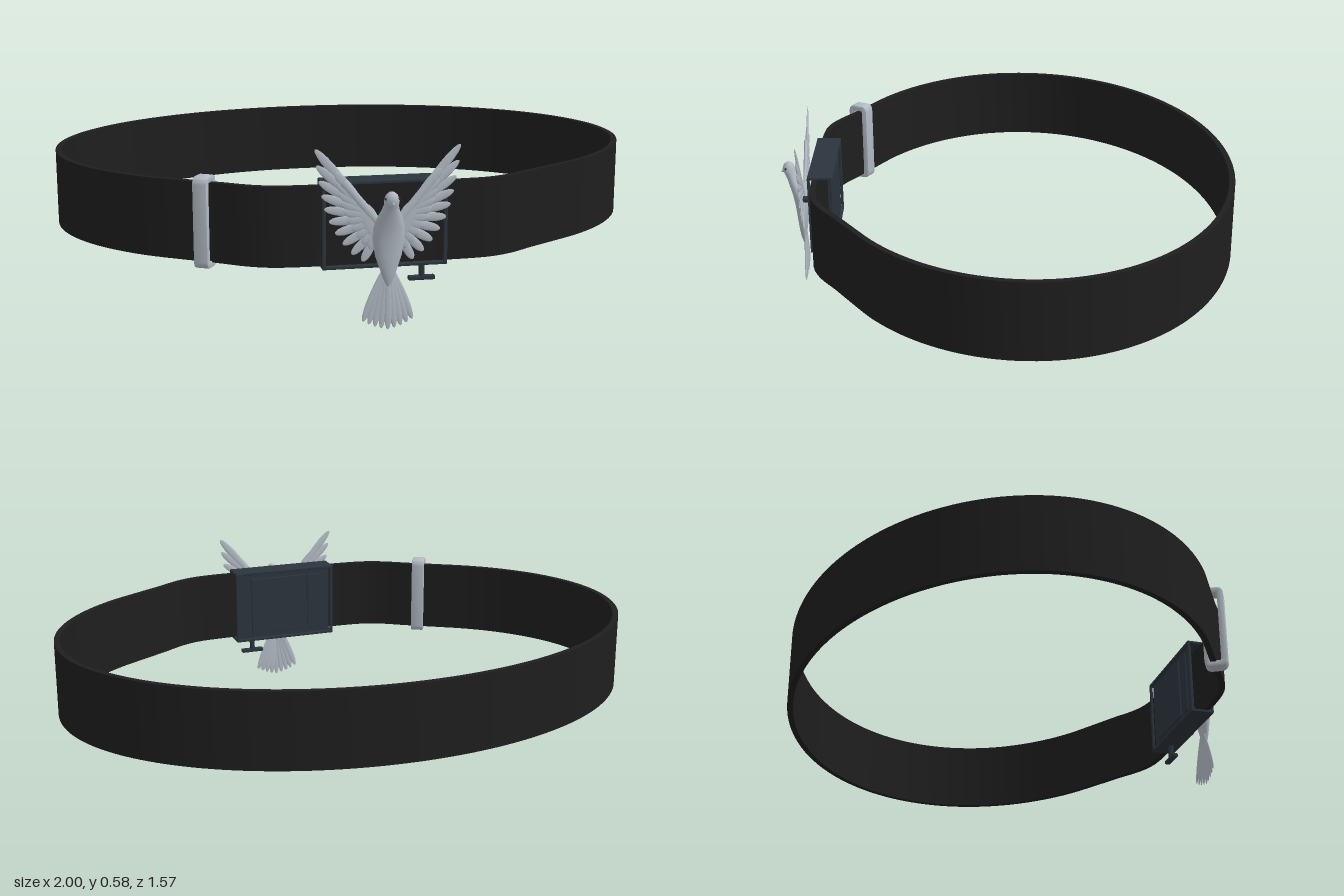
import * as THREE from 'three';
import { toCreasedNormals } from 'three/addons/utils/BufferGeometryUtils.js';
import { RoundedBoxGeometry } from 'three/addons/geometries/RoundedBoxGeometry.js';

const mat = (name, color) => new THREE.MeshStandardMaterial({ name, color });

export function createModel() {
  const model = new THREE.Group();
  model.name = 'beltWithBirdBuckle';
  const leather = mat('black leather', 0x1e1e1e);
  const slate = mat('dark slate metal', 0x2b343d);
  const silver = mat('silver', 0xb2bac3);

  const add = (parent, name, geometry, material, x = 0, y = 0, z = 0) => {
    const mesh = new THREE.Mesh(geometry, material);
    mesh.name = name;
    mesh.position.set(x, y, z);
    parent.add(mesh);
    return mesh;
  };
  const group = (name, parent = model) => {
    const g = new THREE.Group();
    g.name = name;
    parent.add(g);
    return g;
  };

  // Strap: oval loop, flattened where it passes through the buckle
  const half = [[0, 0.65], [0.13, 0.65], [0.26, 0.65], [0.35, 0.64], [0.42, 0.612], [0.5, 0.56]];
  for (let i = 0; i <= 16; i++) {
    const a = THREE.MathUtils.lerp(0.92, -Math.PI / 2, i / 16);
    half.push([0.989 * Math.cos(a), -0.065 + 0.71 * Math.sin(a)]);
  }
  const mirrored = half.slice(1, -1).reverse().map(([x, z]) => [-x, z]);
  const path = new THREE.CatmullRomCurve3(
    [...half, ...mirrored].map(([x, z]) => new THREE.Vector3(x, -z, 0)), true);
  const offsetLoop = (d) => Array.from({ length: 180 }, (_, i) => {
    const p = path.getPointAt(i / 180), t = path.getTangentAt(i / 180);
    return new THREE.Vector2(p.x + t.y * d, p.y - t.x * d);
  });
  const strapShape = new THREE.Shape(offsetLoop(0.01));
  strapShape.holes.push(new THREE.Path(offsetLoop(-0.01)));
  const strapGeo = new THREE.ExtrudeGeometry(strapShape, { depth: 0.255, bevelEnabled: false });
  strapGeo.rotateX(-Math.PI / 2);
  add(model, 'strap', toCreasedNormals(strapGeo, 0.5), leather, 0, 0.2, 0);

  // Keeper: rounded ring round the strap
  const roundedRect = (target, w, h, r) => {
    const x = w / 2, y = h / 2;
    target.moveTo(-x + r, -y).lineTo(x - r, -y).quadraticCurveTo(x, -y, x, -y + r)
      .lineTo(x, y - r).quadraticCurveTo(x, y, x - r, y)
      .lineTo(-x + r, y).quadraticCurveTo(-x, y, -x, y - r)
      .lineTo(-x, -y + r).quadraticCurveTo(-x, -y, -x + r, -y);
    return target;
  };
  const ring = roundedRect(new THREE.Shape(), 0.068, 0.284, 0.02);
  ring.holes.push(roundedRect(new THREE.Path(), 0.042, 0.258, 0.01));
  const ringGeo = new THREE.ExtrudeGeometry(ring, {
    depth: 0.04, bevelThickness: 0.004, bevelSize: 0.004, bevelSegments: 2, curveSegments: 5 });
  ringGeo.translate(0, 0, -0.02).rotateY(Math.PI / 2);
  add(model, 'keeper', toCreasedNormals(ringGeo, 0.6), silver, -0.545, 0.33, 0.542).rotation.y = -0.5;

  // Buckle case: open front and sides, closed back
  const buckle = group('buckle');
  const box = (name, w, h, d, x, y, z) =>
    add(buckle, name, new RoundedBoxGeometry(w, h, d, 2, Math.min(w, h, d) * 0.25), slate, x, y, z);
  for (const y of [0.195, 0.461]) box('casePlate', 0.396, 0.01, 0.084, 0, y, 0.634);
  for (const z of [0.597, 0.672]) {
    for (const x of [-0.192, 0.192]) box('sideBar', 0.012, 0.27, 0.009, x, 0.328, z);
  }
  box('backPlate', 0.37, 0.258, 0.006, 0, 0.328, 0.606);
  box('backPanel', 0.22, 0.22, 0.008, 0.025, 0.328, 0.6);
  box('backStrip', 0.055, 0.22, 0.008, -0.12, 0.328, 0.602);

  // Turn key below the case, and the pin that holds the bird
  add(buckle, 'keyStem', new THREE.CylinderGeometry(0.01, 0.01, 0.07, 12), slate, 0.125, 0.17, 0.638);
  box('keyHandle', 0.086, 0.014, 0.02, 0.125, 0.14, 0.638);
  add(buckle, 'birdPin', new THREE.CylinderGeometry(0.011, 0.011, 0.055, 12), slate, 0.085, 0.343, 0.685)
    .rotation.x = Math.PI / 2;

  // Bird body lofted through elliptical sections: y, z, half width, half depth
  const bird = group('bird');
  const sections = [
    [0.14, 0.718, 0.004, 0.003], [0.17, 0.72, 0.018, 0.01], [0.2, 0.72, 0.028, 0.014],
    [0.24, 0.718, 0.042, 0.02], [0.29, 0.717, 0.05, 0.026], [0.33, 0.722, 0.049, 0.028],
    [0.365, 0.734, 0.039, 0.026], [0.39, 0.745, 0.028, 0.022], [0.408, 0.754, 0.023, 0.021],
    [0.425, 0.76, 0.024, 0.022], [0.441, 0.76, 0.018, 0.017], [0.449, 0.759, 0.008, 0.008],
    [0.451, 0.759, 0.0005, 0.0005]];
  const sides = 20, verts = [], index = [];
  sections.forEach(([y, z, rx, rz], i) => {
    for (let j = 0; j < sides; j++) {
      const a = (j / sides) * Math.PI * 2;
      verts.push(rx * Math.cos(a), y, z + rz * Math.sin(a));
      if (i === sections.length - 1) continue;
      const p = i * sides + j, q = i * sides + (j + 1) % sides;
      index.push(p, p + sides, q, p + sides, q + sides, q);
    }
  });
  const bodyGeo = new THREE.BufferGeometry();
  bodyGeo.setAttribute('position', new THREE.Float32BufferAttribute(verts, 3));
  bodyGeo.setIndex(index);
  bodyGeo.computeVertexNormals();
  add(bird, 'body', bodyGeo, silver);
  const beak = add(bird, 'beak', new THREE.ConeGeometry(0.009, 0.022, 10), silver, 0, 0.417, 0.779);
  beak.rotation.x = Math.PI / 2 + 0.35;
  for (const s of [-1, 1]) add(bird, 'eye', new THREE.SphereGeometry(0.004, 8, 6), slate, s * 0.021, 0.43, 0.769);

  // One feather: a flat blade, narrow at the root, from (x0, y0) to (x1, y1)
  const feather = (parent, name, [x0, y0], [x1, y1], width, z) => {
    const len = Math.hypot(x1 - x0, y1 - y0);
    const geo = new THREE.SphereGeometry(1, 10, 10);
    const pos = geo.attributes.position;
    for (let i = 0; i < pos.count; i++) {
      const y = pos.getY(i);
      pos.setX(i, pos.getX(i) * (0.8 + 0.3 * y));
    }
    geo.scale(width / 2, len / 2, 0.0035);
    geo.computeVertexNormals();
    add(parent, name, geo, silver, (x0 + x1) / 2, (y0 + y1) / 2, z)
      .rotation.z = Math.atan2(-(x1 - x0), y1 - y0);
  };

  // Wings: long flight feathers, a shorter row over them, and the arm
  const tips = [[0.226, 0.578], [0.222, 0.528], [0.215, 0.479], [0.207, 0.434], [0.198, 0.392],
    [0.184, 0.352], [0.165, 0.314], [0.141, 0.279], [0.113, 0.246], [0.08, 0.222]];
  for (const s of [-1, 1]) {
    const wing = group(s > 0 ? 'leftWing' : 'rightWing', bird);
    tips.forEach(([tx, ty], i) => {
      const k = i / (tips.length - 1);
      const root = [0.092 - 0.06 * k, 0.418 - 0.11 * k];
      const at = (f) => [s * THREE.MathUtils.lerp(root[0], tx, f), THREE.MathUtils.lerp(root[1], ty, f)];
      feather(wing, 'flightFeather', at(-0.1), at(1), 0.034, 0.708 + 0.0008 * (i % 2));
      feather(wing, 'covertFeather', at(-0.2), at(0.55), 0.036, 0.712);
    });
    const arm = new THREE.CatmullRomCurve3([[0.025, 0.335], [0.055, 0.372], [0.095, 0.42], [0.14, 0.475]]
      .map(([x, y]) => new THREE.Vector3(s * x, y, 0)));
    const armGeo = new THREE.TubeGeometry(arm, 14, 0.014, 10);
    armGeo.scale(1, 1, 0.5);
    add(wing, 'wingArm', armGeo, silver, 0, 0, 0.711);
    feather(wing, 'shoulder', [s * 0.02, 0.27], [s * 0.085, 0.405], 0.07, 0.713);
  }

  // Tail fan
  const tail = group('tail', bird);
  for (let i = -4; i <= 4; i++) {
    const a = i * 0.105;
    const reach = 0.205 - 0.003 * Math.abs(i);
    feather(tail, 'tailFeather', [i * 0.002, 0.21], [Math.sin(a) * reach, 0.206 - Math.cos(a) * reach],
      0.03, 0.718 - 0.0012 * Math.abs(i));
  }
  return model;
}
